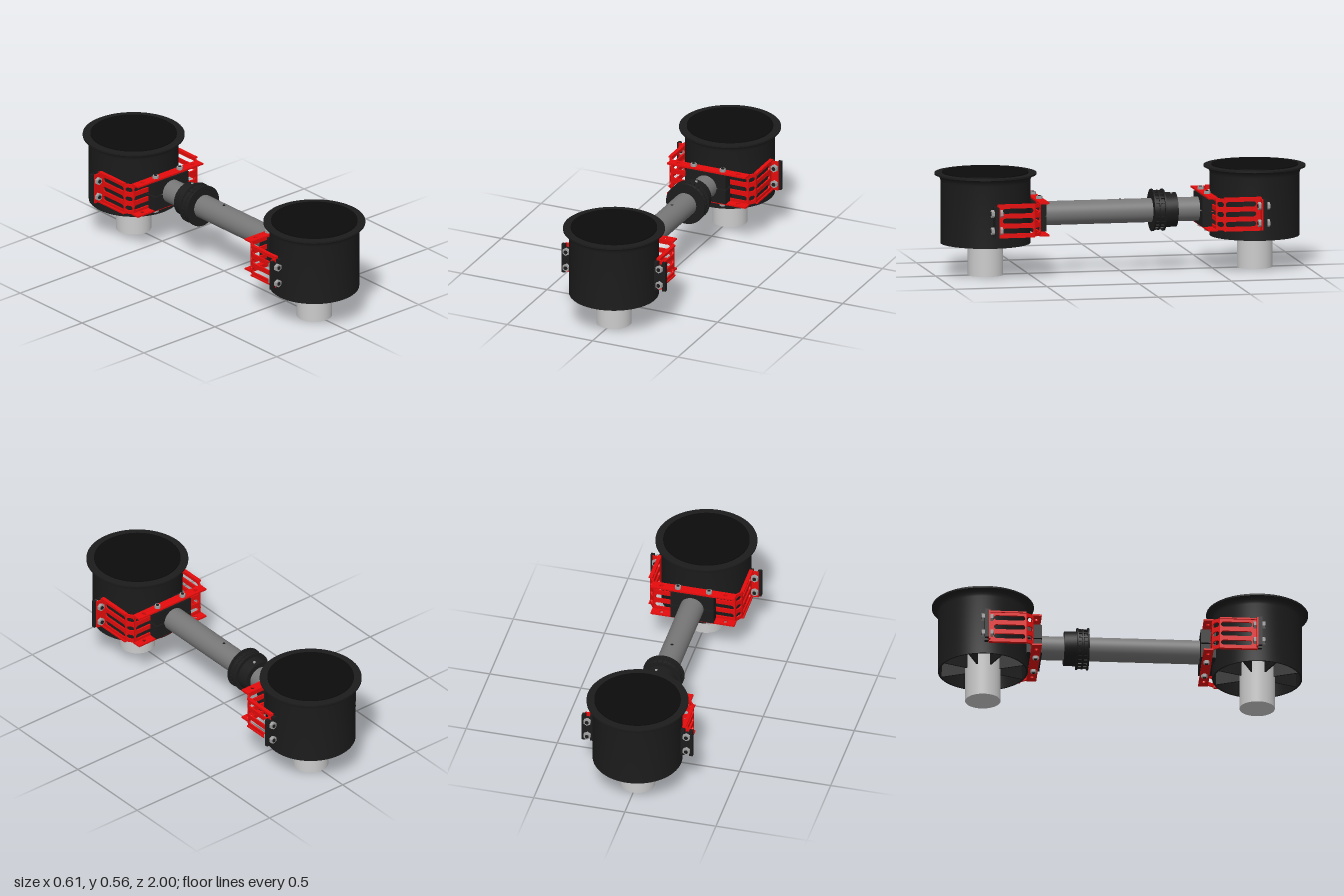
import * as THREE from 'three';
import { toCreasedNormals } from 'three/addons/utils/BufferGeometryUtils.js';

const mat = (color) => new THREE.MeshStandardMaterial({ color });
const BLACK = mat(0x1c1c1c), LID = mat(0x0c0c0c), RED = mat(0xe60c0c);
const PIPE = mat(0x777777), STEEL = mat(0xa0a0a0), POST = mat(0xcccccc);

const TUB_Z = 0.73, MID_Y = 0.32;

function add(parent, name, geo, material, x = 0, y = 0, z = 0) {
  const m = new THREE.Mesh(geo, material);
  m.name = name;
  m.position.set(x, y, z);
  parent.add(m);
  return m;
}

const box = (w, h, d) => new THREE.BoxGeometry(w, h, d);

function lathe(points, segments = 64) {
  const pts = points.map(([x, y]) => new THREE.Vector2(x, y));
  return toCreasedNormals(new THREE.LatheGeometry(pts, segments), 0.6);
}

function extrude(shape, depth) {
  const g = new THREE.ExtrudeGeometry(shape, { depth, bevelEnabled: false, curveSegments: 10 });
  g.translate(0, 0, -depth / 2);
  return toCreasedNormals(g, 0.6);
}

function rectShape(x0, y0, x1, y1) {
  return new THREE.Shape([[x0, y0], [x1, y0], [x1, y1], [x0, y1]].map((p) => new THREE.Vector2(...p)));
}

function circleHole(x, y, r) {
  return new THREE.Path().absarc(x, y, r, 0, Math.PI * 2, true);
}

// Plate with three rounded horizontal slots, running from a to b in plan (x, z)
function slottedPlate(parent, name, a, b, s0, s1) {
  const dx = b[0] - a[0], dz = b[1] - a[1], len = Math.hypot(dx, dz), r = 0.014;
  const shape = rectShape(0, -0.086, len, 0.086);
  for (const y of [-0.053, 0, 0.053]) {
    const slot = new THREE.Path();
    slot.absarc(s0 + r, y, r, Math.PI * 1.5, Math.PI * 0.5, true);
    slot.absarc(len - s1 - r, y, r, Math.PI * 0.5, -Math.PI * 0.5, true);
    slot.closePath();
    shape.holes.push(slot);
  }
  const m = add(parent, name, extrude(shape, 0.009), RED, a[0], MID_Y, a[1]);
  m.rotation.y = Math.atan2(-dz, dx);
}

// Bolt along local y with a hex nut at each end
function bolt(parent, name, length, radius) {
  const g = new THREE.Group();
  g.name = name;
  add(g, 'boltShank', new THREE.CylinderGeometry(radius * 0.5, radius * 0.5, length + 0.006, 16), BLACK);
  for (const s of [-1, 1]) {
    const nut = toCreasedNormals(new THREE.CylinderGeometry(radius, radius, 0.016, 6), 0.5);
    add(g, 'hexNut', nut, STEEL, 0, s * (length / 2 - 0.008), 0);
  }
  parent.add(g);
  return g;
}

function createTub() {
  const tub = new THREE.Group();
  tub.name = 'tub';
  tub.position.z = TUB_Z;
  // Wall with a flared rim and a recessed underside
  add(tub, 'tubBody', lathe([
    [0.001, 0.25], [0.228, 0.25], [0.23, 0.172], [0.239, 0.172], [0.239, 0.505], [0.241, 0.517],
    [0.246, 0.528], [0.254, 0.537], [0.262, 0.54], [0.271, 0.54], [0.271, 0.549], [0.001, 0.549],
  ]), BLACK);
  add(tub, 'lid', new THREE.CylinderGeometry(0.23, 0.23, 0.02, 64), LID, 0, 0.545, 0);
  add(tub, 'post', new THREE.CylinderGeometry(0.094, 0.094, 0.25, 48), POST, 0, 0.125, 0);
  // Stiffening ribs under the floor
  for (let i = 0; i < 8; i++) {
    const a = ((i + 0.5) / 8) * Math.PI * 2;
    const rib = add(tub, 'rib', box(0.14, 0.075, 0.008), BLACK, Math.cos(a) * 0.16, 0.2125, Math.sin(a) * 0.16);
    rib.rotation.y = -a;
  }
  return tub;
}

// Side lug with a notch at its top and bottom, clamped to the bracket tab
function createLug(s) {
  const g = new THREE.Group();
  g.name = s > 0 ? 'leftLug' : 'rightLug';
  const outline = [
    [0.22, 0.236], [0.26, 0.236], [0.26, 0.256], [0.284, 0.256], [0.284, 0.236], [0.304, 0.236],
    [0.304, 0.4], [0.284, 0.4], [0.284, 0.38], [0.26, 0.38], [0.26, 0.4], [0.22, 0.4],
  ].map(([x, y]) => new THREE.Vector2(s * x, y));
  add(g, 'lugPlate', extrude(new THREE.Shape(outline), 0.02), BLACK, 0, 0, 0.728);
  add(g, 'bracketTab', box(0.045, 0.165, 0.009), RED, s * 0.269, 0.318, 0.713);
  for (const y of [0.272, 0.364]) {
    const b = bolt(g, 'lugBolt', 0.062, 0.021);
    b.rotation.x = Math.PI / 2;
    b.position.set(s * 0.272, y, 0.724);
  }
  return g;
}

function createBracket() {
  const g = new THREE.Group();
  g.name = 'bracket';
  for (const s of [-1, 1]) {
    // Slotted side, corner and front plates
    slottedPlate(g, 'sidePlate', [s * 0.249, 0.717], [s * 0.249, 0.515], 0.03, 0.006);
    slottedPlate(g, 'cornerPlate', [s * 0.249, 0.517], [s * 0.222, 0.477], 0.004, 0.004);
    slottedPlate(g, 'frontPlate', [s * 0.224, 0.479], [s * 0.1, 0.479], 0.008, 0.01);
    // Lips along the side plates
    for (const v of [-1, 1]) {
      add(g, 'sideLip', box(0.02, 0.008, 0.2), RED, s * 0.251, MID_Y + v * 0.086, 0.614);
    }
    g.add(createLug(s));
  }
  // Top and bottom flanges with bolt holes
  const flange = rectShape(-0.23, -0.026, 0.23, 0.026);
  for (const x of [-0.175, -0.085, 0.085, 0.175]) flange.holes.push(circleHole(x, 0, 0.011));
  const flangeGeo = extrude(flange, 0.009).rotateX(Math.PI / 2);
  for (const v of [-1, 1]) add(g, 'flange', flangeGeo, RED, 0, MID_Y + v * 0.086, 0.457);
  // Two-part saddle gripping the pipe
  for (const v of [-1, 1]) {
    add(g, 'saddleHalf', box(0.236, 0.078, 0.08), BLACK, 0, MID_Y + v * 0.0425, 0.462);
  }
  add(g, 'saddleCore', box(0.2, 0.15, 0.07), BLACK, 0, MID_Y, 0.468);
  for (const x of [-0.085, 0.085]) {
    bolt(g, 'saddleBolt', 0.212, 0.017).position.set(x, MID_Y, 0.455);
  }
  return g;
}

export function createModel() {
  const model = new THREE.Group();
  model.name = 'linkedTubs';

  // Two identical ends facing away from each other
  for (const name of ['frontEnd', 'backEnd']) {
    const end = new THREE.Group();
    end.name = name;
    end.add(createTub(), createBracket());
    if (name === 'backEnd') end.rotation.y = Math.PI;
    model.add(end);
  }

  // Connecting pipe with a small hole mark
  const pipe = add(model, 'pipe', new THREE.CylinderGeometry(0.064, 0.064, 0.97, 48), PIPE, 0, MID_Y, 0);
  pipe.rotation.x = Math.PI / 2;
  add(model, 'pipeHole', new THREE.CylinderGeometry(0.007, 0.007, 0.004, 16), BLACK, 0, MID_Y + 0.063, 0);

  // Coupling: plain sleeve and ridged collar
  const coupling = add(model, 'coupling', lathe([
    [0.063, 0], [0.092, 0], [0.092, 0.066], [0.112, 0.066], [0.112, 0.074], [0.1, 0.076], [0.1, 0.092],
    [0.107, 0.094], [0.107, 0.102], [0.1, 0.104], [0.1, 0.122], [0.113, 0.124], [0.113, 0.132], [0.063, 0.132],
  ], 48), BLACK, 0, MID_Y, -0.3);
  coupling.rotation.x = Math.PI / 2;
  for (let i = 0; i < 24; i++) {
    const a = (i / 24) * Math.PI * 2;
    const grip = add(coupling, 'gripRib', box(0.012, 0.05, 0.006), BLACK, Math.cos(a) * 0.1, 0.099, Math.sin(a) * 0.1);
    grip.rotation.y = -a;
  }
  add(model, 'couplingScrew', new THREE.CylinderGeometry(0.007, 0.007, 0.006, 16), STEEL, 0.015, MID_Y + 0.092, -0.275);

  return model;
}
